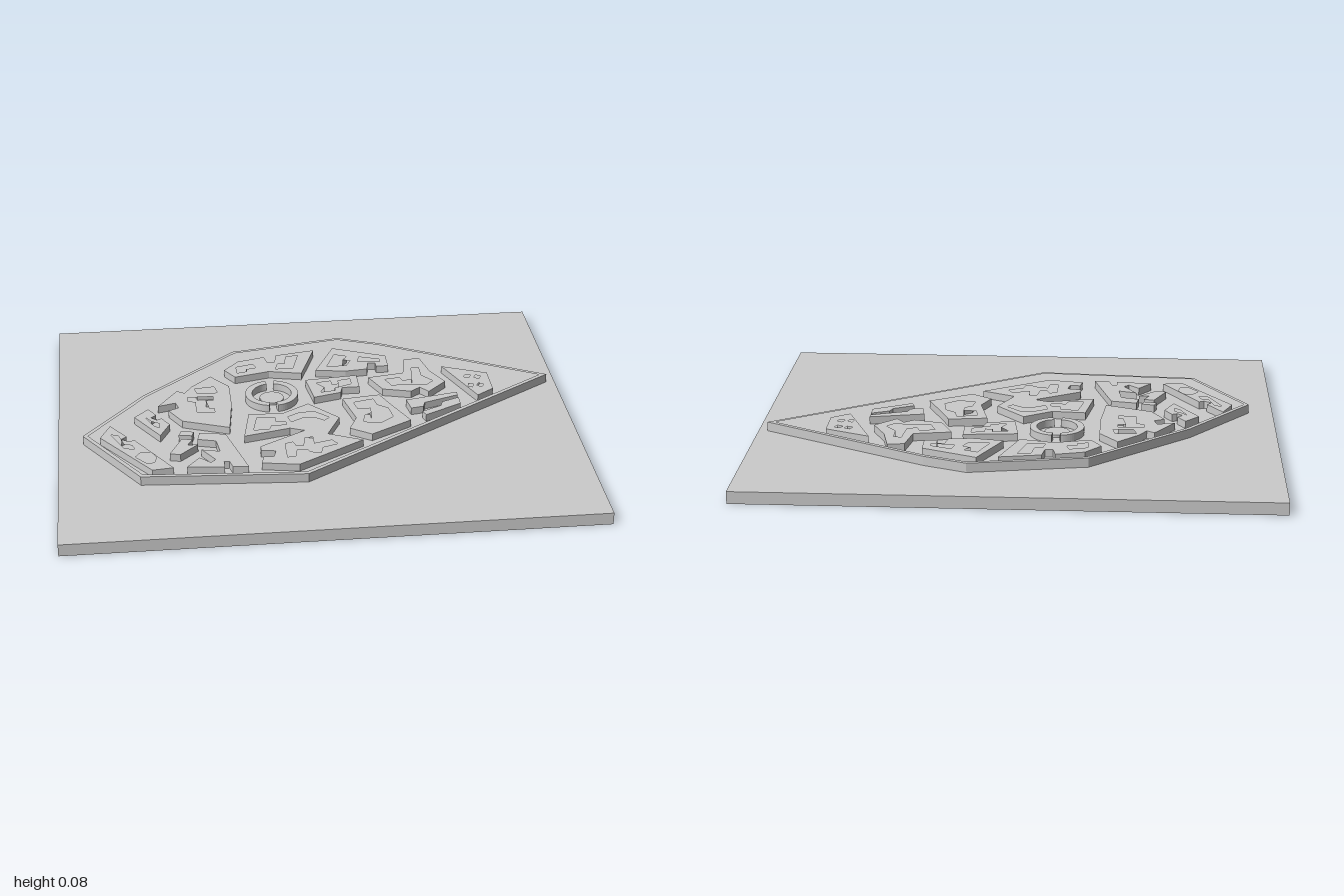
import * as THREE from 'three';

const BASE_TOP = 0.047, WALL_TOP = 0.083, BLOCK_TOP = 0.077;
const material = new THREE.MeshStandardMaterial({ color: 0xcccccc, flatShading: true });

// Plans are x, z pairs in hundredths of a unit, seen from above.
const toPoints = (plan) => {
  const points = [];
  for (let i = 0; i < plan.length; i += 2) points.push(new THREE.Vector2(plan[i] / 100, -plan[i + 1] / 100));
  return points;
};

// Stand an extruded plan on the base.
function raise(name, shape, top) {
  const geometry = new THREE.ExtrudeGeometry(shape, { depth: top - BASE_TOP, bevelEnabled: false, curveSegments: 16 });
  geometry.rotateX(-Math.PI / 2).translate(0, BASE_TOP, 0);
  const mesh = new THREE.Mesh(geometry, material);
  mesh.name = name;
  return mesh;
}

// Move each corner of a convex outline inwards by a constant wall thickness.
function inset(points, distance) {
  const n = points.length;
  const centre = new THREE.Vector2();
  points.forEach((p) => centre.addScaledVector(p, 1 / n));
  const inward = (a, b) => {
    const normal = new THREE.Vector2(a.y - b.y, b.x - a.x).normalize();
    return normal.dot(centre.clone().sub(a)) < 0 ? normal.negate() : normal;
  };
  return points.map((p, i) => {
    const n1 = inward(points[(i + n - 1) % n], p);
    const n2 = inward(p, points[(i + 1) % n]);
    return p.clone().addScaledVector(n1.clone().add(n2), distance / (1 + n1.dot(n2)));
  });
}

const cityOutline = [-90.5, 13, -66.5, -17.5, -28.5, -52, 16, -60, 32.5, -53.5, 96.5, -18.5, -7.5, 50.3, -69.5, 46];

// Each block: outer plan followed by the plans of its courtyards.
const blocks = {
  northWestBlock: [
    [-33, -37, -27, -44, -16, -47, -15, -42, -12, -42, -11, -48, 5, -51, -2, -31, -15, -34, -29, -30.5],
    [-28, -39, -21, -41, -20, -38, -24, -37, -24, -35, -28, -34],
    [-11, -40, -8, -40, -7, -46, -2, -47, -5, -36, -12, -36]],
  northBlock: [
    [13, -52, 34, -43, 34, -34, 29, -34, 29, -37, 26, -37, 25, -32, 16, -31, 4, -33],
    [13, -46, 18, -44, 16, -41, 19, -40, 17, -36, 9, -36],
    [23, -43, 31, -40, 31, -38, 22, -39]],
  westBlock: [
    [-39, -32, -32, -23, -32, -8, -34, 11, -52, 4, -57, -5, -53, -7, -54, -11, -61, -9, -53, -21, -50, -19, -47, -24],
    [-49, -15, -39, -15, -39, -12, -42, -12, -41, -5, -39, -5, -39, -2, -46, -3, -46, -11, -49, -12],
    [-46, -22, -38, -23, -37, -18, -45, -18]],
  centreBlock: [
    [-1, -25, 20, -27, 20, -17, 13, -17, 12, -13, 1, -10],
    [3, -22, 9, -23, 9, -20, 12, -20, 12, -23, 17, -24, 17, -20, 10, -17, 10, -15, 4, -14, 6, -18]],
  northEastBlock: [
    [41, -38.5, 47.5, -39.5, 50, -28, 55, -18, 47, -10, 44, -14, 40, -11, 29, -14, 24.5, -24.5, 39, -27],
    [31, -22, 37, -23, 38, -20, 42, -21, 43, -31, 46, -31, 46, -24, 50, -19, 47, -16, 42, -17, 33, -17]],
  eastBlock: [
    [55.5, -31, 73, -23.5, 73, -10, 66, -5],
    [64, -23, 66, -22, 65, -20, 63, -21], [68, -22, 70, -21, 69, -19, 67, -20],
    [64, -15, 66, -14, 65, -12, 63.5, -13], [68, -15, 70, -14, 69, -12, 67, -13]],
  eastUpperStrip: [[37, -4, 58, -8.5, 58, -6, 44, -1, 43, 2, 38, 3]],
  eastLowerStrip: [[42, 6, 50, 2, 51, -1, 58, -4, 58, 1, 43, 9]],
  southEastBlock: [
    [12, -7.5, 27, -9.5, 30, -2, 36.5, 12.5, 20, 22, 12, 16.5, 15.5, 8.5],
    [16, -4, 24, -6, 25, -1, 29, 2, 30, 9, 25, 13, 18, 12, 19, 7, 22, 5, 22, 1, 17, 1]],
  middleBlock: [
    [-26, 1, -13, 2, -2, -5, 9, 7.5, 3, 20, -11, 14, -29, 18.5],
    [-23, 4, -16, 5, -16, 8, -12, 9, -12, 11, -18, 11, -19, 14, -25, 14],
    [-11, 5, -6, 2, 0, 2, 5, 7, 3, 9, -1, 6, -5, 6, -10, 9]],
  southBlock: [
    [-5, 16, 16, 26, -10, 42, -24, 39.5, -23, 35, -19, 35, -18, 31, -23.5, 30, -23.5, 27],
    [-14, 26, -11, 25, -10, 28, -7, 28, -6, 22, -3, 22, -3, 27, 4, 25, 6, 28, 0, 30, -1, 34, -5, 33, -6, 31, -10, 31, -11, 36, -14, 36]],
  southWestBlock: [
    [-46, 14, -36, 16, -29, 41.5, -35, 41, -36, 37, -38, 37, -38, 41, -52, 39.5, -47, 33, -43, 37, -41, 35, -46, 27, -39, 29, -40, 21, -47, 19]],
  southWestHouse: [[-53, 18, -49, 19, -51, 23, -47, 23, -54, 30, -58, 29]],
  southWestCottage: [[-53, 12, -48, 13, -49, 16, -54, 15]],
  westGateBlock: [
    [-80, 5, -74, 14, -76, 16, -73, 18, -71, 17, -57, 39.5, -65, 40.5, -84, 14],
    [-80, 12, -77, 13, -75, 20, -72, 21, -71, 24, -75, 23],
    [-69, 27, -65, 27, -63, 31, -64, 35, -67, 35, -71, 30]],
  westLane: [
    [-65, -7, -62, -2, -64, 0, -62, 2, -60, 1, -57, 6, -61, 14.5, -70.5, -1],
    [-66, 0, -64, 3, -61, 5, -61, 8, -63, 7]],
};

// One half of the round enclosure in the plaza.
function arcShape(x, z, outer, inner, start, end) {
  const shape = new THREE.Shape();
  shape.absarc(x, -z, outer, start, end, false);
  shape.absarc(x, -z, inner, end, start, true);
  return shape;
}

export function createModel() {
  const model = new THREE.Group();
  model.name = 'walledCity';

  // Ground slab
  const base = new THREE.Mesh(new THREE.BoxGeometry(2, BASE_TOP, 1.68), material);
  base.name = 'base';
  base.position.y = BASE_TOP / 2;
  model.add(base);

  // City wall
  const outline = toPoints(cityOutline);
  const wall = new THREE.Shape(outline);
  wall.holes.push(new THREE.Path(inset(outline, 0.016)));
  model.add(raise('cityWall', wall, WALL_TOP));

  // Building blocks with courtyards
  for (const [name, [plan, ...courtyards]] of Object.entries(blocks)) {
    const shape = new THREE.Shape(toPoints(plan));
    courtyards.forEach((yard) => shape.holes.push(new THREE.Path(toPoints(yard))));
    model.add(raise(name, shape, BLOCK_TOP));
  }

  // Round plaza: two arcs with gates between them, around a low disc
  for (const turn of [0, Math.PI]) {
    const arc = arcShape(-0.155, -0.155, 0.105, 0.078, turn - 1.4, turn + 1.4);
    model.add(raise('plazaArc', arc, BLOCK_TOP));
  }
  const disc = new THREE.Shape().absarc(-0.155, 0.155, 0.048, 0, Math.PI * 2, false);
  model.add(raise('plazaDisc', disc, BASE_TOP + 0.01));

  return model;
}
